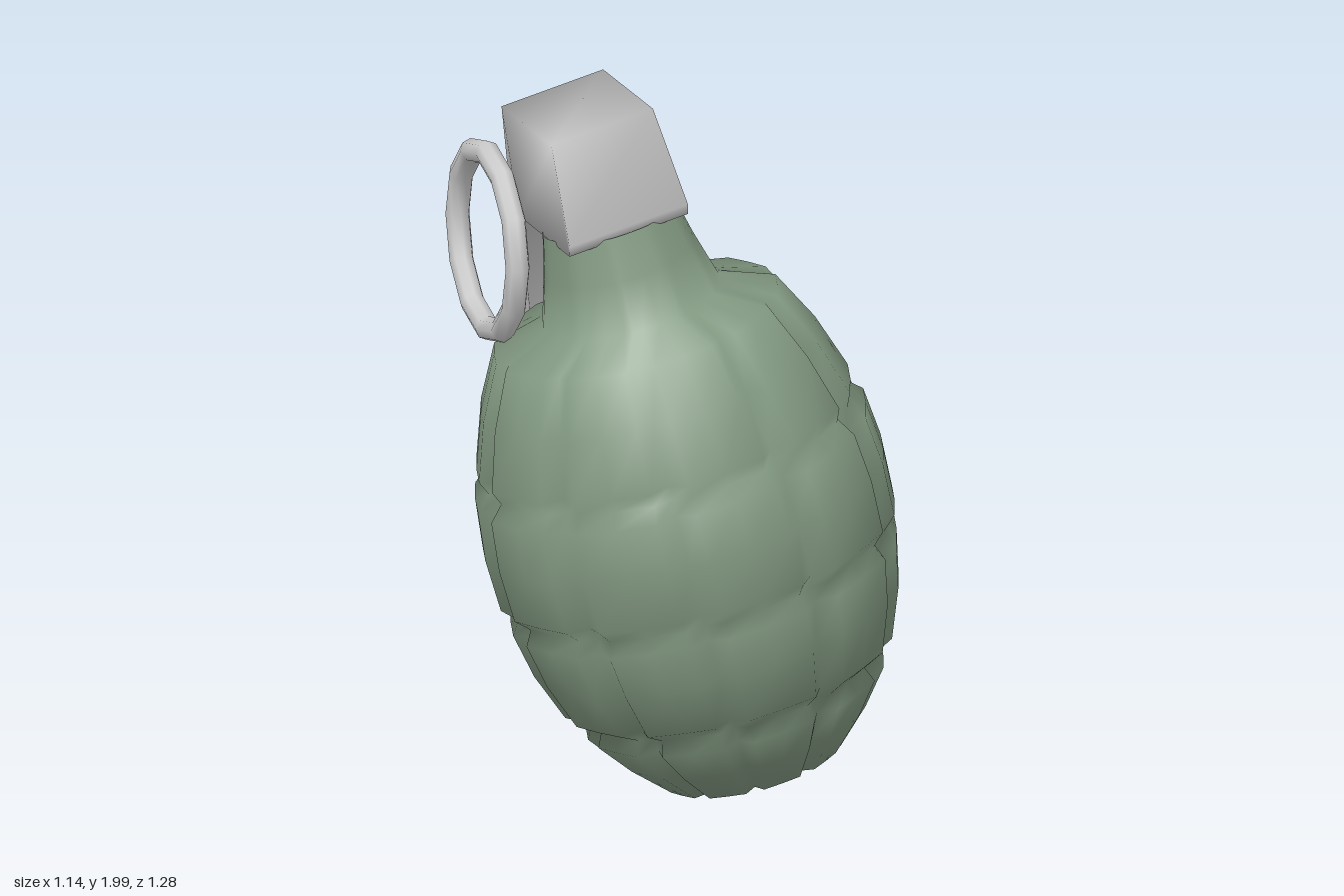
import * as THREE from 'three';
import { mergeVertices } from 'three/addons/utils/BufferGeometryUtils.js';

const green = new THREE.MeshStandardMaterial({ color: 0x839a82 });
const grey = new THREE.MeshStandardMaterial({ color: 0xcccccc });

function addMesh(parent, name, geometry, material) {
  const mesh = new THREE.Mesh(geometry, material);
  mesh.name = name;
  parent.add(mesh);
  return mesh;
}

// Ribbed body with its neck: rings of [height, radius, row groove, column groove];
// every cell is a raised panel between ten vertical grooves.
function bodyGeometry() {
  const rings = [
    [0.02, 0, 0, 0], [0.015, 0.17, 0, 0], [0, 0.25, 0, 0.04],
    [0.1, 0.345, 0, 0.05], [0.2, 0.42, 0, 0.045], [0.24, 0.435, 0.035, 0.03], [0.28, 0.465, 0, 0.045],
    [0.42, 0.518, 0, 0.045], [0.55, 0.545, 0, 0.04], [0.59, 0.553, 0.032, 0.025], [0.63, 0.56, 0, 0.04],
    [0.78, 0.566, 0, 0.04], [0.92, 0.552, 0, 0.04], [0.96, 0.542, 0.032, 0.025], [1.0, 0.528, 0, 0.04],
    [1.16, 0.475, 0, 0.035], [1.31, 0.4, 0, 0.025],
    [1.365, 0.25, 0, 0], [1.5, 0.212, 0, 0], [1.62, 0.185, 0, 0],
  ];
  const cells = 10, split = [0, 0.16, 0.5, 0.84], n = cells * split.length;
  const pos = [], index = [];
  rings.forEach(([t, r, rowDepth, columnDepth], row) => {
    for (let j = 0; j < n; j++) {
      const s = split[j % 4];
      const angle = ((Math.floor(j / 4) + s) / cells) * Math.PI * 2;
      const flatten = s === 0.5 ? r * 0.015 : 0;
      const rad = r - rowDepth - flatten - (s === 0 ? columnDepth : 0);
      pos.push(rad * Math.cos(angle), t, rad * Math.sin(angle));
      if (row > 0) {
        const a = (row - 1) * n + j, c = (row - 1) * n + ((j + 1) % n);
        index.push(a, a + n, c, c, a + n, c + n);
      }
    }
  });
  const g = new THREE.BufferGeometry();
  g.setAttribute('position', new THREE.Float32BufferAttribute(pos, 3));
  g.setIndex(index);
  g.computeVertexNormals();
  return g;
}

// Cap and lever in one bent side profile, narrowing towards the tip,
// with normals shared over the edges for a soft pressed-metal look.
function leverGeometry() {
  const profile = [
    [0.21, 1.94], [-0.2, 1.94], [-0.62, 1.0], [-0.655, 0.34],
    [-0.56, 0.34], [-0.54, 1.0], [-0.24, 1.61], [0.17, 1.605], [0.195, 1.64],
  ].map(([z, y]) => new THREE.Vector2(z, y));
  const extruded = new THREE.ExtrudeGeometry(new THREE.Shape(profile), { depth: 1, bevelEnabled: false });
  extruded.translate(0, 0, -0.5);
  extruded.rotateY(-Math.PI / 2); // profile x becomes z
  extruded.deleteAttribute('normal');
  extruded.deleteAttribute('uv');
  const g = mergeVertices(extruded);
  const p = g.attributes.position;
  for (let i = 0; i < p.count; i++) {
    const y = p.getY(i);
    const [width, shift] = y > 1.9 ? [0.3, -0.005] : y > 1.5 ? [0.35, 0] : y > 0.9 ? [0.3, -0.02] : [0.265, -0.015];
    p.setX(i, p.getX(i) * width + shift);
  }
  g.computeVertexNormals();
  return g;
}

export function createModel() {
  const model = new THREE.Group();
  model.name = 'model';

  // Body and lever are built upright, then leaned and turned as one piece.
  const tilted = new THREE.Group();
  tilted.name = 'tiltedAssembly';
  const up = new THREE.Vector3(-0.209, 0.969, -0.123).normalize();
  const side = new THREE.Vector3(0.924, 0.237, 0.301);
  side.addScaledVector(up, -side.dot(up)).normalize();
  const front = new THREE.Vector3().crossVectors(side, up);
  tilted.quaternion.setFromRotationMatrix(new THREE.Matrix4().makeBasis(side, up, front));
  tilted.position.set(0.16, 0.065, 0.17);
  model.add(tilted);

  addMesh(tilted, 'ribbedBodyAndNeck', bodyGeometry(), green);

  const lever = addMesh(tilted, 'capAndLever', leverGeometry(), grey);
  lever.position.z = -0.01;

  // Pull ring hanging plumb beside the cap
  const ring = addMesh(model, 'pullRing', new THREE.TorusGeometry(0.25, 0.034, 8, 12), grey);
  ring.rotation.y = 1.24;
  ring.position.set(-0.33, 1.505, -0.365);

  return model;
}
